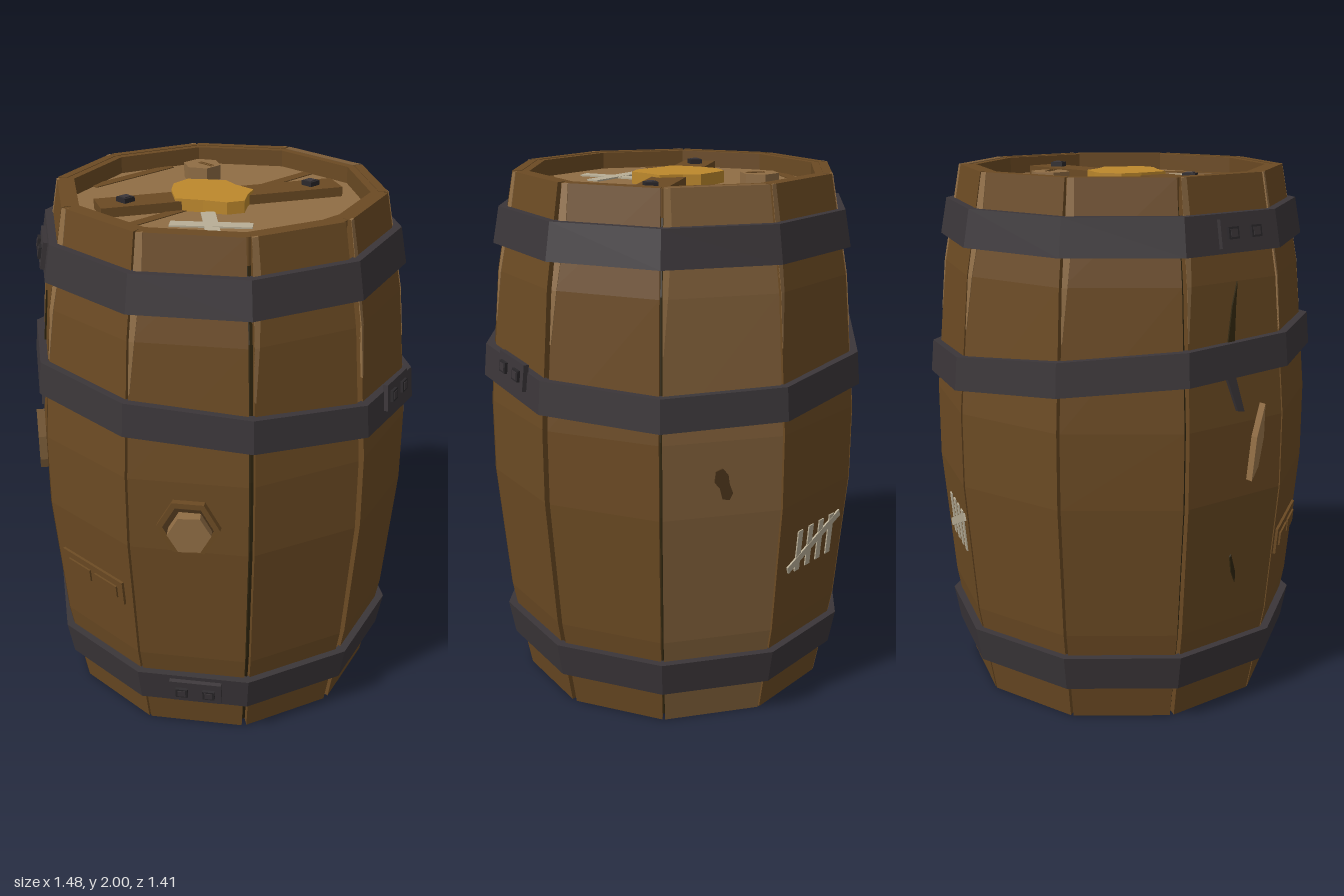
import * as THREE from 'three';

const SIDES = 10, STEP = (Math.PI * 2) / SIDES, APOTHEM = Math.cos(STEP / 2);
// Barrel profile: [height, corner radius]
const PROFILE = [[0, 0.61], [0.36, 0.677], [0.86, 0.722], [1.14, 0.722], [1.64, 0.677], [2, 0.61]];

const mat = (name, color, side = THREE.FrontSide) => {
  const m = new THREE.MeshStandardMaterial({ color, side });
  m.name = name;
  return m;
};

function segment(y) {
  let i = 0;
  while (i < PROFILE.length - 2 && y > PROFILE[i + 1][0]) i++;
  const [a, b] = [PROFILE[i], PROFILE[i + 1]];
  return { a, slope: (b[1] - a[1]) / (b[0] - a[0]) };
}
function radiusAt(y) {
  const { a, slope } = segment(y);
  return a[1] + slope * (y - a[0]);
}
const corner = (r, angle, y) => [r * Math.cos(angle), y, r * Math.sin(angle)];

// Flat-faced skin through closed cross-sections
function loft(rows, caps = false) {
  const pos = [], n = rows[0].length;
  const tri = (a, b, c) => pos.push(...a, ...b, ...c);
  for (let i = 0; i < rows.length - 1; i++) {
    for (let j = 0; j < n; j++) {
      const k = (j + 1) % n;
      tri(rows[i][j], rows[i][k], rows[i + 1][k]);
      tri(rows[i][j], rows[i + 1][k], rows[i + 1][j]);
    }
  }
  if (caps) {
    const lo = rows[0], hi = rows[rows.length - 1];
    for (let j = 1; j < n - 1; j++) {
      tri(lo[0], lo[j + 1], lo[j]);
      tri(hi[0], hi[j], hi[j + 1]);
    }
  }
  const g = new THREE.BufferGeometry();
  g.setAttribute('position', new THREE.Float32BufferAttribute(pos, 3));
  g.computeVertexNormals();
  return g;
}

// Ten-sided ring; section(angle) gives [radius, y] from outer bottom round to inner bottom
function ring(section) {
  const rows = [];
  for (let i = 0; i <= SIDES; i++) {
    const a = i * STEP;
    rows.push(section(a).map(([r, y]) => corner(r, a, y)));
  }
  return loft(rows);
}

// Strip of one barrel side; rows are [y, t0, t1], t running left to right across the side
function strip(k, rows, lift, depth) {
  const at = (r, y, t) => {
    const p = corner(r, (k + 1) * STEP, y), q = corner(r, k * STEP, y);
    return p.map((v, i) => v + (q[i] - v) * t);
  };
  return loft(rows.map(([y, t0, t1]) => {
    const r = radiusAt(y) + lift;
    return [at(r, y, t0), at(r, y, t1), at(r - depth, y, t1), at(r - depth, y, t0)];
  }), true);
}

function plate(points, depth) {
  const shape = new THREE.Shape(points.map(([x, y]) => new THREE.Vector2(x, y)));
  return new THREE.ExtrudeGeometry(shape, { depth, bevelEnabled: false });
}
function hexagon(r, h) {
  const g = new THREE.CylinderGeometry(r, r, h, 6).toNonIndexed();
  g.computeVertexNormals();
  return g;
}

export function createModel() {
  const model = new THREE.Group();
  model.name = 'barrel';
  const wood = mat('stave wood', 0x6b4a23);
  const aged = mat('faded wood', 0x7b5b37);
  const pale = mat('pale wood', 0x906d44);
  const iron = mat('dark iron', 0x3b3639);
  const rivetIron = mat('rivet iron', 0x2b282b);
  const wax = mat('amber wax', 0xbd882c);
  const chalk = mat('chalk', 0xb8ae96);
  const dark = mat('dark interior', 0x30260f, THREE.DoubleSide);
  const knot = mat('knot wood', 0x49331a);

  const add = (parent, name, geo, material, x = 0, y = 0, z = 0) => {
    const m = new THREE.Mesh(geo, material);
    m.name = name;
    m.position.set(x, y, z);
    parent.add(m);
    return m;
  };
  const box = (parent, name, size, material, x, y, z) =>
    add(parent, name, new THREE.BoxGeometry(...size), material, x, y, z);

  // Group lying on a barrel side, local z pointing outwards
  const onSide = (name, k, y, lift = 0, u = 0) => {
    const a = (k + 0.5) * STEP, r = radiusAt(y) * APOTHEM + lift;
    const g = new THREE.Group();
    g.name = name;
    g.rotation.order = 'YXZ';
    g.rotation.set(Math.atan(segment(y).slope * APOTHEM), Math.PI / 2 - a, 0);
    g.position.set(r * Math.cos(a) + u * Math.sin(a), y, r * Math.sin(a) - u * Math.cos(a));
    model.add(g);
    return g;
  };

  // Staves with uneven joints and worn upper left edges
  const gaps = [0.035, 0.026, 0.012, 0.01, 0.022, 0.014, 0.012, 0.01, 0.014, 0.03];
  for (let k = 0; k < SIDES; k++) {
    const l = gaps[(k + 1) % SIDES], r = gaps[k];
    add(model, 'stave', strip(k, PROFILE.map(([y]) => [y, l, 1 - r]), 0, 0.035), k === 7 ? aged : wood);
    const worn = [[1.45, 0.01], [1.64, 0.045], [1.87, 0.075], [2, 0.06]];
    add(model, 'wornEdge', strip(k, worn.map(([y, w]) => [y, l, l + w]), 0.002, 0.01), pale);
  }

  // Dark lining, seen through the joints and the open bottom
  const lining = PROFILE.map(([y, r]) => Array.from({ length: SIDES }, (_, i) =>
    corner(r - 0.037, -i * STEP, Math.max(0.004, Math.min(y, 1.92)))));
  add(model, 'lining', loft(lining), dark);

  // Top rim and recessed lid
  add(model, 'rim', ring(() => [[0.595, 1.9], [0.595, 1.998], [0.545, 1.998], [0.545, 1.9]]), wood);
  const LID = 1.935;
  const lidGeo = new THREE.CylinderGeometry(0.56, 0.56, 0.03, SIDES, 1, false, Math.PI / 2).toNonIndexed();
  lidGeo.computeVertexNormals();
  add(model, 'lid', lidGeo, pale, 0, LID - 0.015, 0);
  for (const [x, len] of [[-0.48, 0.4], [-0.027, 1.03], [0.43, 0.63]]) {
    box(model, 'lidJoint', [0.042, 0.006, len], wood, x, LID, 0);
  }

  // Nailed cross plank
  const plank = new THREE.Group();
  plank.name = 'plank';
  plank.position.y = LID;
  plank.rotation.y = -0.485;
  model.add(plank);
  box(plank, 'plankBoard', [0.125, 0.035, 0.91], wood, 0, 0.0175, 0);
  for (const s of [-1, 1]) {
    box(plank, 'nailHead', [0.047, 0.02, 0.047], rivetIron, 0, 0.042, s * 0.352).rotation.y = 0.485;
    box(plank, 'nailTop', [0.03, 0.004, 0.03], iron, 0, 0.053, s * 0.352).rotation.y = 0.485;
  }

  // Wax spill over the plank
  const spill = [[-0.19, 0.02], [-0.15, 0.055], [-0.075, 0.108], [-0.01, 0.092], [0.08, 0.093], [0.108, 0.035],
    [0.155, -0.03], [0.125, -0.09], [0.045, -0.13], [-0.04, -0.185], [-0.13, -0.12], [-0.182, -0.06]].reverse();
  add(model, 'waxSpill', plate(spill, 0.045).rotateX(-Math.PI / 2), wax, 0, LID, 0);

  // Chalk cross
  for (const s of [-1, 1]) {
    box(model, 'chalkCross', [0.29, 0.006, 0.052], chalk, 0.178, LID + 0.004 + s * 0.0005, 0.22).rotation.y = s * 0.7;
  }

  // Lid bung with scratches
  add(model, 'lidBung', hexagon(0.073, 0.055), pale, -0.277, LID + 0.0275, -0.18);
  for (const z of [-0.191, -0.178]) box(model, 'bungScratch', [0.07, 0.003, 0.004], wood, -0.26, LID + 0.056, z);

  // Iron hoops, the middle one askew
  const hoop = (name, middle, half) => add(model, name, ring((a) => {
    const y = middle(Math.cos(a), Math.sin(a)), lo = y - half, hi = y + half;
    const [rl, rh] = [radiusAt(lo), radiusAt(hi)];
    return [[rl + 0.03, lo], [rh + 0.03, hi], [rh - 0.01, hi], [rl - 0.01, lo]];
  }), iron);
  hoop('upperHoop', () => 1.808, 0.067);
  hoop('middleHoop', (c, s) => 1.316 - 0.016 * c + 0.063 * s, 0.061);
  hoop('lowerHoop', () => 0.208, 0.067);

  // Riveted hoop clasps
  for (const [k, y, u, roll] of [[3, 1.808, 0.035, 0], [1, 0.208, 0.01, 0], [9, 1.318, 0.03, -0.06]]) {
    const clasp = onSide('hoopClasp', k, y, 0.03, u);
    clasp.rotation.z = roll;
    box(clasp, 'claspPlate', [0.2, 0.1, 0.02], iron, 0, 0, 0.005);
    for (const s of [-1, 1]) {
      box(clasp, 'rivet', [0.046, 0.042, 0.016], rivetIron, s * 0.052, 0, 0.018);
      box(clasp, 'rivetFace', [0.03, 0.028, 0.004], iron, s * 0.052, 0, 0.026);
    }
  }

  // Side bung: collar and slightly crooked plug
  const bung = onSide('sideBung', 1, 0.97);
  const hexOut = (r, h) => hexagon(r, h).rotateY(Math.PI / 6).rotateX(Math.PI / 2);
  add(bung, 'bungCollar', hexOut(0.115, 0.03), wood, 0, 0, 0.01);
  add(bung, 'bungRecess', hexOut(0.092, 0.004), knot, 0, 0, 0.0245);
  add(bung, 'bungPlug', hexOut(0.078, 0.08), pale, 0.008, 0, 0.03).rotation.y = 0.1;

  // Front wooden tag with two raised panels
  const tag = onSide('woodTag', 2, 0.62);
  box(tag, 'tagBoard', [0.345, 0.1, 0.012], wood, -0.005, 0, 0.004);
  for (const x of [-0.077, 0.075]) box(tag, 'tagPanel', [0.125, 0.05, 0.008], wood, x, -0.002, 0.013);

  // Cracks and splinters
  const scar = (name, k, y, points, material, depth = 0.006) =>
    add(onSide(name, k, y), name, plate(points, depth), material);
  scar('crack', 3, 1.54, [[-0.03, -0.11], [0.0, -0.11], [0.012, 0.02], [0.022, 0.1], [-0.004, 0.02]], dark);
  scar('ironSliver', 3, 1.24, [[0.0, -0.055], [0.03, -0.06], [-0.005, 0.07], [-0.045, 0.07]], iron, 0.012);
  scar('splinter', 3, 1.05, [[0.055, -0.13], [0.085, -0.08], [0.108, 0.03], [0.11, 0.15], [0.075, 0.03]], pale, 0.03);
  scar('smallCrack', 3, 0.575, [[0.035, -0.06], [0.03, -0.01], [0.005, 0.06], [0.0, 0.05], [0.012, -0.01]], dark);

  // Knot on the faded stave
  scar('knotMark', 7, 0.98, [[0.0, -0.055], [0.025, -0.06], [0.038, -0.035], [0.025, 0.0], [0.02, 0.035],
    [0.0, 0.06], [-0.025, 0.05], [-0.03, 0.01], [-0.01, -0.015]], knot);

  // Chalk tally on the back
  const tally = onSide('chalkTally', 6, 0.65, 0.002);
  for (let i = 0; i < 4; i++) box(tally, 'tallyStroke', [0.03, 0.165, 0.006], chalk, -0.085 + i * 0.069, 0, 0);
  box(tally, 'tallySlash', [0.35, 0.03, 0.007], chalk, 0.015, 0.005, 0.001).rotation.z = 0.4;

  return model;
}
